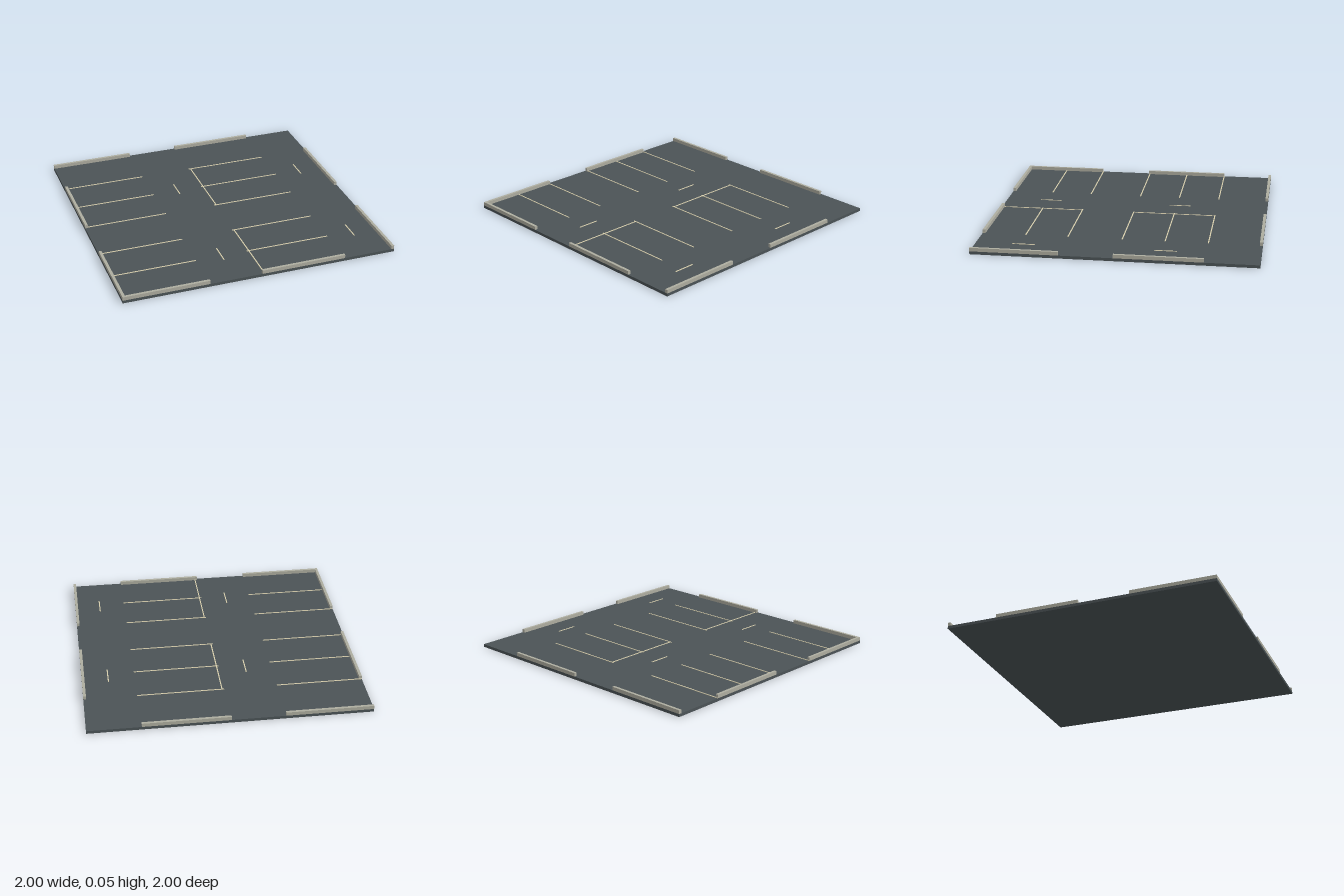
import * as THREE from 'three';

const asphalt = new THREE.MeshStandardMaterial({ color: 0x4b5356 });
asphalt.name = 'asphalt';
const concrete = new THREE.MeshStandardMaterial({ color: 0xaeada0 });
concrete.name = 'concrete';
const paint = new THREE.MeshStandardMaterial({ color: 0xd6cdac });
paint.name = 'linePaint';

const TOP = 0.021;   // road surface
const BAY = 0.62;    // length of a parking bay and of a curb

// Box given by its x, y and z ranges
function block(name, material, [x0, x1], [y0, y1], [z0, z1]) {
  const mesh = new THREE.Mesh(new THREE.BoxGeometry(x1 - x0, y1 - y0, z1 - z0), material);
  mesh.position.set((x0 + x1) / 2, (y0 + y1) / 2, (z0 + z1) / 2);
  mesh.name = name;
  return mesh;
}

// One square of car park: slab, bay lines and a lane dash
function createTile(x, z) {
  const tile = new THREE.Group();
  tile.name = 'parkingTile';
  const lineY = [TOP, TOP + 0.003];
  tile.add(block('slab', asphalt, [0, 1], [0, TOP], [0, 1]));
  for (const lineZ of [0.38, 0.685, 0.99]) {
    tile.add(block('bayLine', paint, [0, BAY], lineY, [lineZ - 0.004, lineZ + 0.004]));
  }
  tile.add(block('bayEndLine', paint, [0.011, 0.019], lineY, [0.38, 0.99]));
  tile.add(block('laneDash', paint, [0.806, 0.814], lineY, [0.58, 0.74]));
  tile.position.set(x, 0, z);
  return tile;
}

export function createModel() {
  const model = new THREE.Group();
  model.name = 'parkingLot';

  for (const x of [-1, 0]) {
    for (const z of [-1, 0]) model.add(createTile(x, z));
  }

  // Broken curbs around the outer edge
  const curbY = [TOP, 0.047];
  for (const edge of [[-1, -0.98], [0.98, 1]]) {
    for (const start of [-1, 0]) {
      model.add(block('endCurb', concrete, [start, start + BAY], curbY, edge));
      model.add(block('sideCurb', concrete, edge, curbY, [start + 1 - BAY, start + 1]));
    }
  }
  return model;
}
